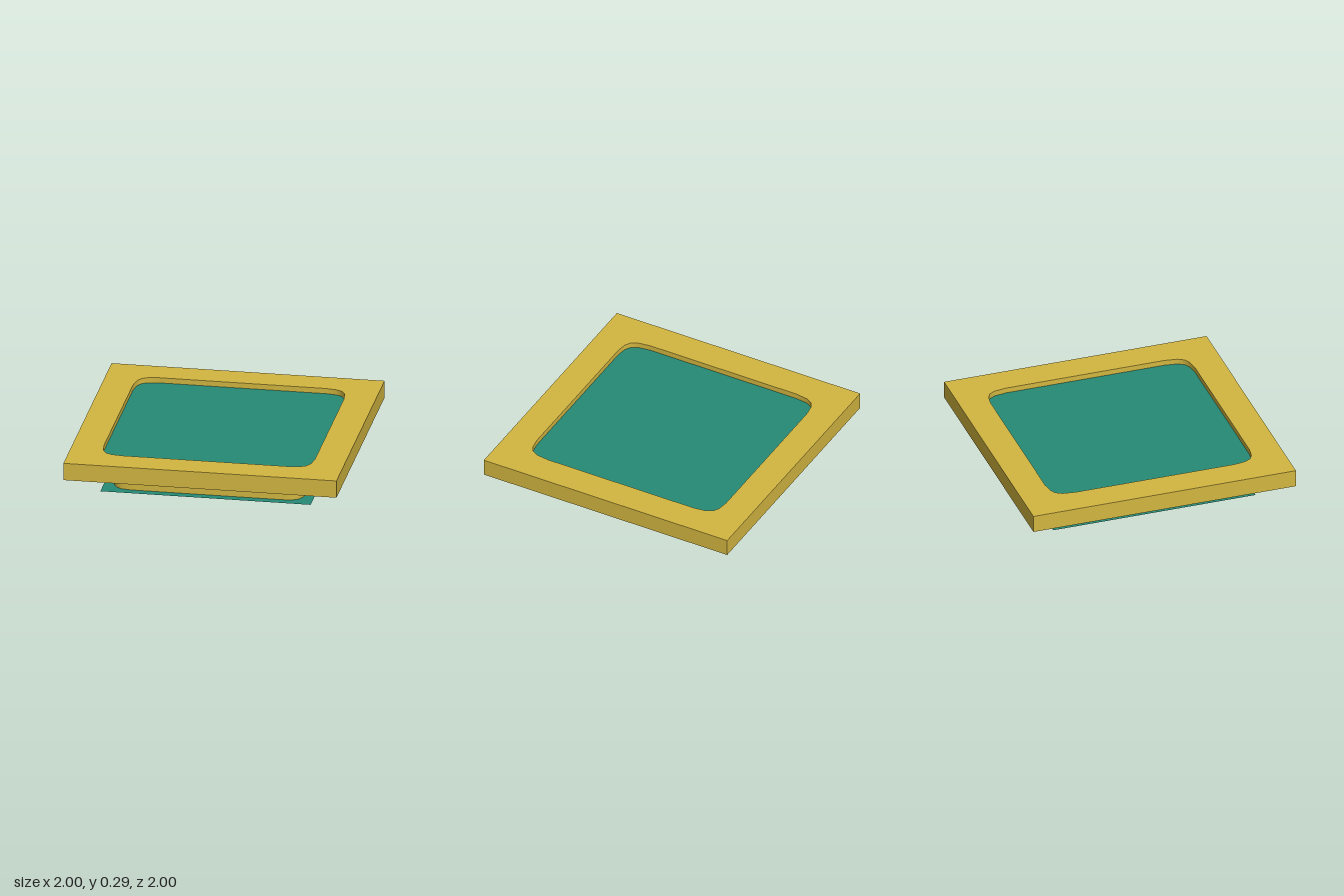
import * as THREE from 'three';

const gold = new THREE.MeshStandardMaterial({ color: 0xd2b640, side: THREE.DoubleSide });
const teal = new THREE.MeshStandardMaterial({ color: 0x268a76, side: THREE.DoubleSide });

// One rounded corner of the basin outline; the others are mirrored from it
const corner = [[0.773, 0.6], [0.76, 0.695], [0.733, 0.742], [0.69, 0.766], [0.61, 0.778]];

function outline(scale) {
  const back = [...corner].reverse();
  const mirror = (list, sx, sy) => list.map(([x, y]) => new THREE.Vector2(x * sx * scale, y * sy * scale));
  return [...mirror(corner, 1, 1), ...mirror(back, -1, 1), ...mirror(corner, -1, -1), ...mirror(back, 1, -1)];
}

// Flat sheet facing up, with an optional hole
function sheet(points, hole, y) {
  const shape = new THREE.Shape(points);
  if (hole) shape.holes.push(new THREE.Path(hole));
  return new THREE.ShapeGeometry(shape).rotateX(-Math.PI / 2).translate(0, y, 0);
}

// Thin wall following a closed outline between two heights
function wall(points, y0, y1) {
  const pos = [], index = [], n = points.length;
  points.forEach((p, i) => {
    pos.push(p.x, y0, -p.y, p.x, y1, -p.y);
    const a = 2 * i, b = 2 * ((i + 1) % n);
    index.push(a, b, b + 1, a, b + 1, a + 1);
  });
  const g = new THREE.BufferGeometry();
  g.setAttribute('position', new THREE.Float32BufferAttribute(pos, 3));
  g.setIndex(index);
  g.computeVertexNormals();
  return g;
}

function square(h) {
  return [[-h, -h], [h, -h], [h, h], [-h, h]].map(([x, y]) => new THREE.Vector2(x, y));
}

export function createModel() {
  const group = new THREE.Group();
  const add = (name, geometry, material) => {
    const mesh = new THREE.Mesh(geometry, material);
    mesh.name = name;
    group.add(mesh);
  };
  const upper = outline(1), lower = outline(0.908);

  // Hollow square deck: top plate and four skirt walls, open underneath
  add('deckTop', sheet(square(1), upper, 0.29), gold);
  const skirt = new THREE.CylinderGeometry(Math.SQRT2, Math.SQRT2, 0.13, 4, 1, true)
    .rotateY(Math.PI / 4).translate(0, 0.225, 0).toNonIndexed();
  skirt.computeVertexNormals();
  add('deckSkirt', skirt, gold);

  // Stepped basin
  add('upperBasinWall', wall(upper, 0.115, 0.29), gold);
  add('basinLedge', sheet(upper, lower, 0.115), gold);
  add('lowerBasinWall', wall(lower, 0, 0.115), gold);

  // Surface just under the rim, and the floor sheet
  add('surface', sheet(square(0.79), null, 0.25), teal);
  add('floor', sheet(square(0.77), null, 0), teal);
  return group;
}
